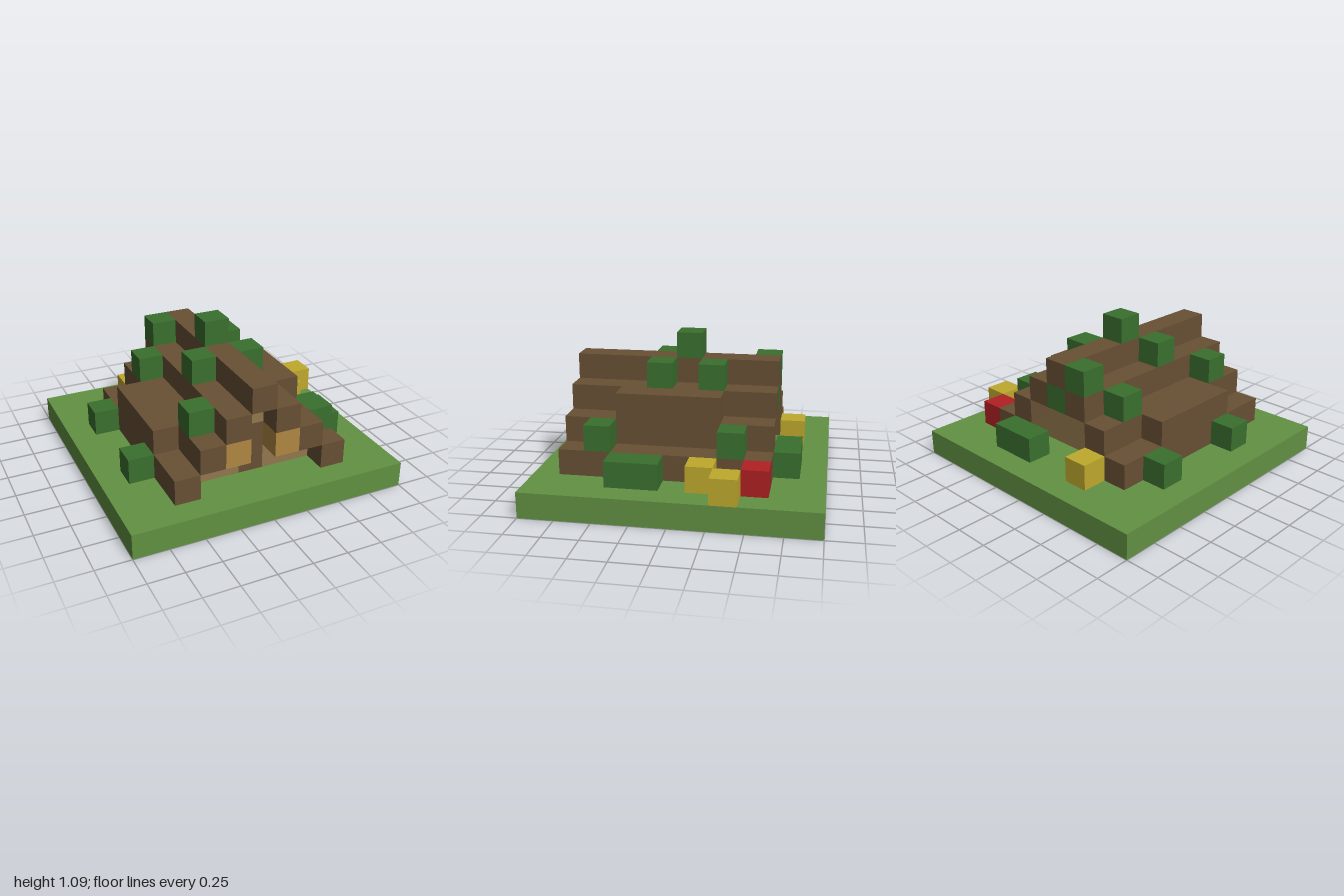
import * as THREE from 'three';

const U = 2 / 11; // one block; cells run -5..5 in x and z, 0..5 in y

export function createModel() {
  const model = new THREE.Group();
  model.name = 'cabin';

  const mat = (name, color) => {
    const m = new THREE.MeshStandardMaterial({ color });
    m.name = name;
    return m;
  };
  const grass = mat('grass green', 0x629142);
  const leaf = mat('leaf green', 0x3a702e);
  const wood = mat('roof brown', 0x685034);
  const plank = mat('plank tan', 0x92774d);
  const amber = mat('window amber', 0xaf8742);
  const yellow = mat('flower yellow', 0xbfa92d);
  const red = mat('flower red', 0xb02023);

  // Box filling an inclusive range of cells
  const block = (name, material, [x0, x1], [y0, y1], [z0, z1]) => {
    const g = new THREE.BoxGeometry((x1 - x0 + 1) * U, (y1 - y0 + 1) * U, (z1 - z0 + 1) * U);
    const mesh = new THREE.Mesh(g, material);
    mesh.position.set((x0 + x1) / 2 * U, ((y0 + y1 + 1) / 2) * U, (z0 + z1) / 2 * U);
    mesh.name = name;
    model.add(mesh);
  };
  const cube = (name, material, x, y, z) => block(name, material, [x, x], [y, y], [z, z]);

  // Lawn around the foundations
  for (const x of [[-5, -4], [4, 5]]) block('lawnSide', grass, x, [0, 0], [-5, 5]);
  block('lawnBack', grass, [-3, 3], [0, 0], [-5, -4]);
  block('lawnFront', grass, [-3, 3], [0, 0], [5, 5]);
  for (const z of [-3, 4]) block('lawnStep', grass, [-2, 2], [0, 0], [z, z]);

  // Plank floor with one open corner
  block('floor', plank, [-2, 2], [0, 0], [-1, 3]);
  block('floorBack', plank, [-1, 2], [0, 0], [-2, -2]);

  // Stepped roof, with foundations sunk into the lawn
  for (const s of [-1, 1]) {
    block('foundation', wood, [s * 3, s * 3], [0, 0], [-3, 4]);
    for (let y = 1; y <= 3; y++) block('roofStep', wood, [s * (4 - y), s * (4 - y)], [y, y], [-3, 4].map((z, i) => (y === 3 && i === 2 ? 0 : z)));
  }
  block('roofRidge', wood, [0, 0], [4, 4], [-3, 4]);
  block('roofBulgeRight', wood, [-3, -3], [2, 2], [-1, 2]);
  block('roofBulgeLeft', wood, [2, 2], [3, 3], [-1, 2]);

  // Front wall with doorway
  for (const s of [-1, 1]) {
    block('frontWallLow', plank, s < 0 ? [-2, -1] : [1, 2], [1, 1], [3, 3]);
    cube('frontWallHigh', plank, s, 2, 3);
    cube('window', amber, s, 2, 4);
  }
  block('door', wood, [0, 0], [1, 2], [3, 3]);
  cube('frontGable', plank, 0, 3, 3);

  // Back wall
  block('backWallLow', plank, [-2, 2], [1, 1], [-2, -2]);
  block('backWallHigh', plank, [-1, 1], [2, 2], [-2, -2]);
  cube('backGable', plank, 0, 3, -2);
  cube('backGableLeaves', leaf, 0, 3, -3);

  // Leaves growing on the roof
  [[0, 5, 0], [-1, 4, 1], [1, 4, 1], [1, 4, -1], [-1, 4, -3],
    [-2, 3, -2], [-2, 3, 3], [3, 2, -2], [3, 2, 3]]
    .forEach(([x, y, z]) => cube('roofLeaves', leaf, x, y, z));

  // Bushes and flowers
  for (const z of [-2, 2]) cube('bush', leaf, -4, 1, z);
  block('bushLeft', leaf, [4, 4], [1, 1], [1, 2]);
  block('bushBack', leaf, [1, 2], [1, 1], [-4, -4]);
  [[-2, -4], [4, -1], [5, -2]].forEach(([x, z]) => cube('yellowFlower', yellow, x, 1, z));
  cube('redFlower', red, 4, 1, -3);

  return model;
}
